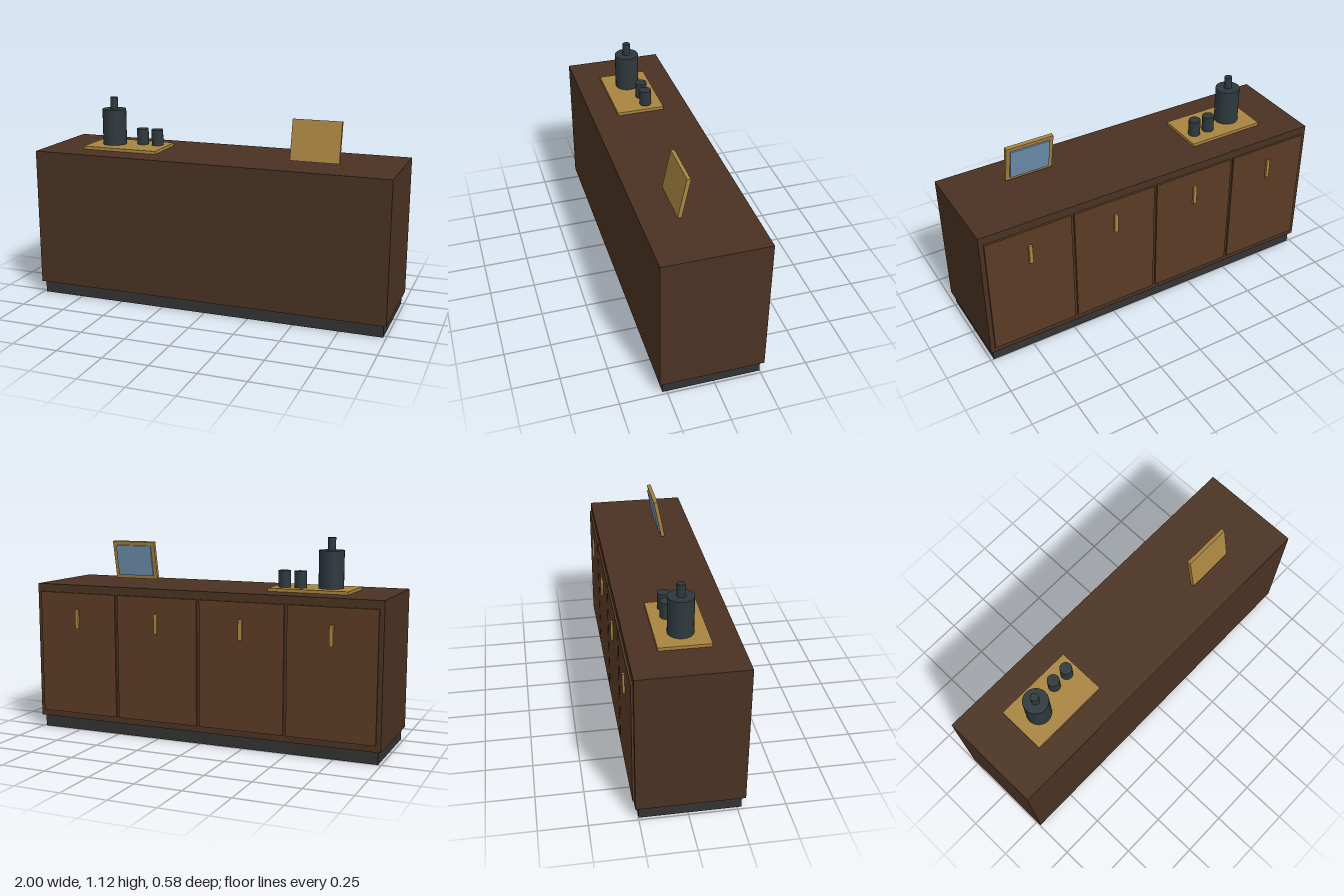
import * as THREE from 'three';

const mat = (color) => new THREE.MeshStandardMaterial({ color });

export function createModel() {
  const model = new THREE.Group();
  const wood = mat(0x4a3222);
  const doorWood = mat(0x5a3a24);
  const black = mat(0x333333);
  const brass = mat(0xa88440);
  const ceramic = mat(0x2e383c);
  const glass = mat(0x7094b4);

  const add = (parent, name, geometry, material, x, y, z) => {
    const mesh = new THREE.Mesh(geometry, material);
    mesh.name = name;
    mesh.position.set(x, y, z);
    parent.add(mesh);
    return mesh;
  };
  const box = (parent, name, material, w, h, d, x, y, z) =>
    add(parent, name, new THREE.BoxGeometry(w, h, d), material, x, y, z);
  // upright cylinder standing on height y
  const can = (parent, name, r, h, x, y, z) =>
    add(parent, name, new THREE.CylinderGeometry(r, r, h, 24), ceramic, x, y + h / 2, z);

  // Cabinet on a recessed plinth
  const midZ = 0.012;
  box(model, 'plinth', black, 1.968, 0.068, 0.522, 0, 0.034, midZ);
  box(model, 'cabinetBody', wood, 2, 0.767, 0.557, 0, 0.4515, midZ);

  // Four doors with bar handles along the back
  for (let i = 0; i < 4; i++) {
    const x = (i - 1.5) * 0.492;
    const door = new THREE.Group();
    door.name = 'door' + (i + 1);
    box(door, 'doorPanel', doorWood, 0.475, 0.688, 0.012, x, 0.447, -0.271);
    box(door, 'doorHandle', brass, 0.02, 0.11, 0.013, x, 0.646, -0.2825);
    model.add(door);
  }

  // Tray with a bottle and two cups
  const trayTop = 0.852;
  const traySet = new THREE.Group();
  traySet.name = 'traySet';
  box(traySet, 'tray', brass, 0.439, 0.017, 0.267, -0.556, trayTop - 0.0085, midZ);
  can(traySet, 'bottle', 0.067, 0.2, -0.645, trayTop, midZ);
  can(traySet, 'bottleNeck', 0.021, 0.067, -0.645, trayTop + 0.2, midZ);
  for (const x of [-0.49, -0.4]) can(traySet, 'cup', 0.033, 0.089, x, trayTop, -0.032);
  model.add(traySet);

  // Picture frame leaning, its picture facing the doors
  const frame = new THREE.Group();
  frame.name = 'pictureFrame';
  box(frame, 'frame', brass, 0.266, 0.22, 0.021, 0, 0, 0);
  box(frame, 'picture', glass, 0.222, 0.178, 0.008, 0, 0, -0.0145);
  frame.position.set(0.555, 0.957, 0.0785);
  frame.rotation.x = -0.2;
  model.add(frame);

  return model;
}
